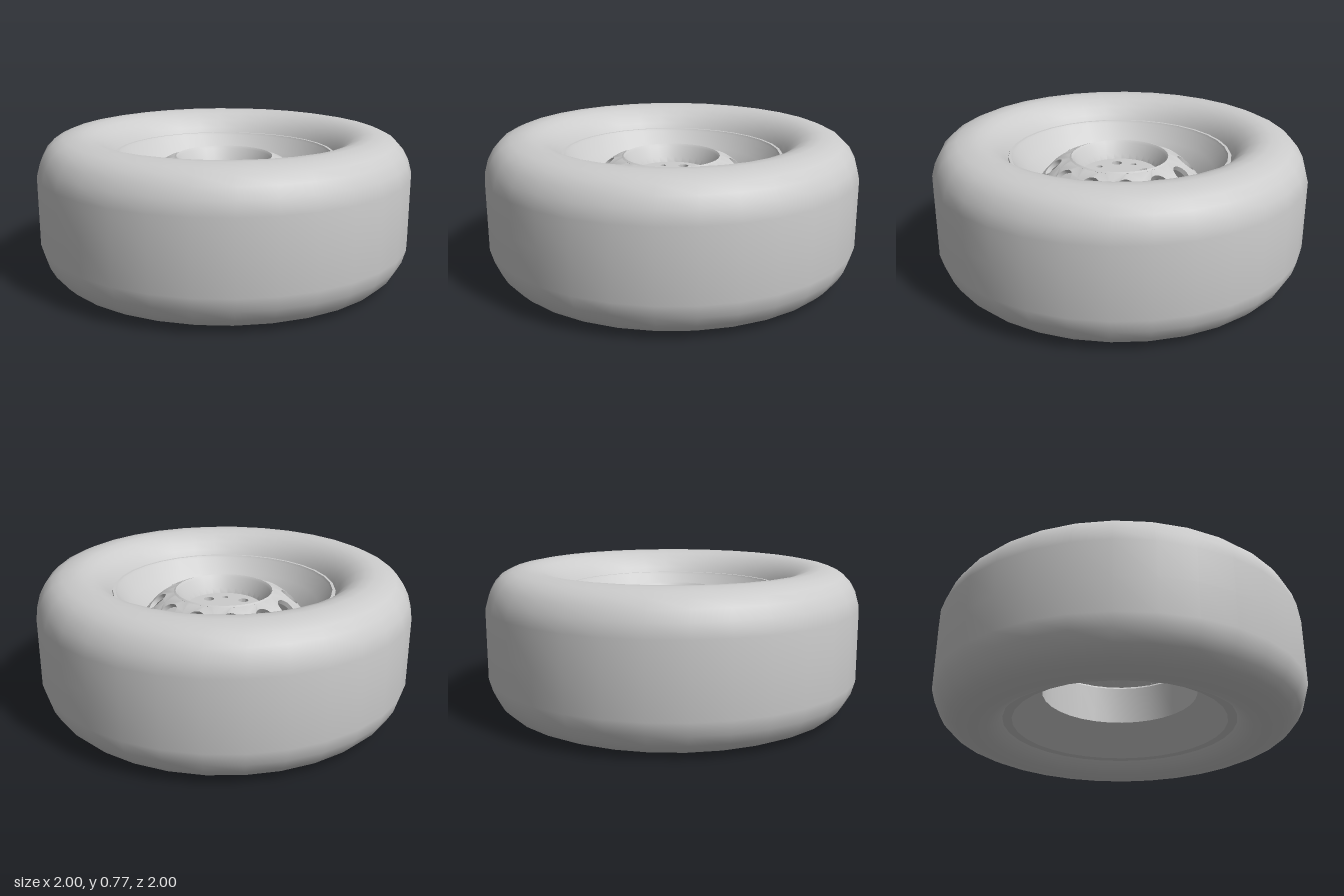
import * as THREE from 'three';
import { mergeGeometries, toCreasedNormals } from 'three/addons/utils/BufferGeometryUtils.js';

const SEGMENTS = 32;
const material = new THREE.MeshStandardMaterial({ color: 0xcccccc, side: THREE.DoubleSide });

function addMesh(group, name, geometry) {
  const mesh = new THREE.Mesh(geometry, material);
  mesh.name = name;
  group.add(mesh);
}

// Revolve [radius, height] pairs about the upright axis.
function revolve(pairs, crease) {
  const points = pairs.map(([r, y]) => new THREE.Vector2(r, y));
  const lathe = new THREE.LatheGeometry(points, SEGMENTS);
  return crease ? toCreasedNormals(lathe, crease) : lathe;
}

// Domed disc: twelve flat (angle, radius) panels with an oval hole, bent into a ring.
function ventedDisc() {
  const count = 12, inner = 0.265, outer = 0.445, half = Math.PI / count, steps = 5;
  const outline = [];
  const side = (a0, r0, a1, r1) => {
    for (let i = 0; i < steps; i++) {
      const t = i / steps;
      outline.push(new THREE.Vector2(a0 + (a1 - a0) * t, r0 + (r1 - r0) * t));
    }
  };
  side(-half, inner, half, inner);
  side(half, inner, half, outer);
  side(half, outer, -half, outer);
  side(-half, outer, -half, inner);
  const shape = new THREE.Shape(outline);
  shape.holes.push(new THREE.Path().absellipse(0, 0.36, 0.145, 0.045, 0, Math.PI * 2, true));

  const thickness = 0.025;
  const panels = [];
  for (let k = 0; k < count; k++) {
    const panel = new THREE.ExtrudeGeometry(shape, { depth: thickness, bevelEnabled: false, curveSegments: 10 });
    const pos = panel.attributes.position;
    const centre = (2 * k + 1) * half;
    for (let i = 0; i < pos.count; i++) {
      const angle = pos.getX(i) + centre, r = pos.getY(i);
      const drop = thickness - pos.getZ(i);
      const t = (outer - r) / (outer - inner);
      const y = 0.49 + 0.14 * (1.8 * t - 0.8 * t * t) - drop * 0.8;
      const radius = r - drop * 0.5;
      pos.setXYZ(i, radius * Math.sin(angle), y, -radius * Math.cos(angle));
    }
    panels.push(panel);
  }
  return toCreasedNormals(mergeGeometries(panels), 0.6);
}

// Flat hub plate with alternating large and small bolt holes.
function hubPlate() {
  const shape = new THREE.Shape().absarc(0, 0, 0.212, 0, Math.PI * 2, false);
  const addHoles = (startDegrees, radius) => {
    for (let k = 0; k < 4; k++) {
      const a = THREE.MathUtils.degToRad(startDegrees) + k * Math.PI / 2;
      shape.holes.push(new THREE.Path().absarc(0.136 * Math.cos(a), 0.136 * Math.sin(a), radius, 0, Math.PI * 2, true));
    }
  };
  addHoles(-13, 0.028);
  addHoles(-54, 0.016);
  const plate = new THREE.ExtrudeGeometry(shape, { depth: 0.02, bevelEnabled: false, curveSegments: 16 });
  plate.rotateX(-Math.PI / 2);
  plate.translate(0, 0.52, 0);
  return toCreasedNormals(plate, 0.6);
}

export function createModel() {
  const wheel = new THREE.Group();
  wheel.name = 'wheel';

  // Tyre carcass, from the lower bead round the tread to the upper bead
  addMesh(wheel, 'tyre', revolve([
    [0.626, 0.07], [0.655, 0.035], [0.70, 0.01], [0.75, 0], [0.80, 0], [0.86, 0.012],
    [0.91, 0.035], [0.95, 0.075], [0.98, 0.13], [1, 0.2], [1, 0.385], [1, 0.57],
    [0.98, 0.64], [0.95, 0.695], [0.91, 0.735], [0.86, 0.758], [0.80, 0.77],
    [0.75, 0.768], [0.70, 0.752], [0.655, 0.72], [0.62, 0.68], [0.6, 0.645],
  ]));

  // Rim barrel with flat lips, tapering to a narrow centre
  addMesh(wheel, 'rim', revolve([
    [0.6, 0.645], [0.597, 0.652], [0.582, 0.652], [0.575, 0.64], [0.51, 0.565], [0.445, 0.49],
    [0.425, 0.46], [0.423, 0.24], [0.577, 0.07], [0.626, 0.07],
  ], 0.5));

  addMesh(wheel, 'ventedDisc', ventedDisc());

  // Recessed cup in the middle of the disc
  addMesh(wheel, 'hubCup', revolve([
    [0.255, 0.605], [0.272, 0.628], [0.262, 0.634], [0.25, 0.622], [0.228, 0.57],
    [0.208, 0.54], [0.208, 0.52], [0.225, 0.53], [0.245, 0.57], [0.255, 0.605],
  ], 0.6));

  addMesh(wheel, 'hubPlate', hubPlate());

  return wheel;
}
